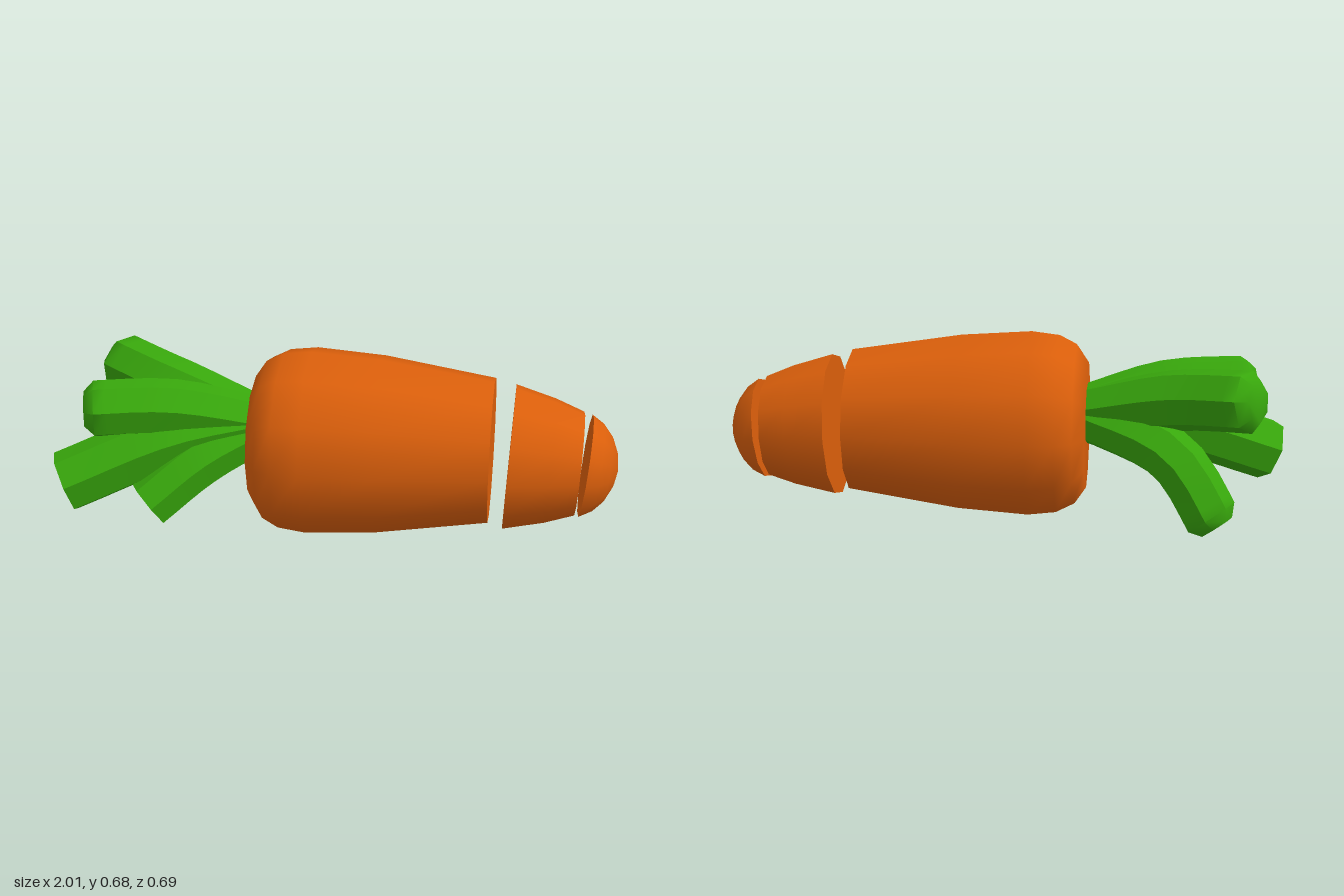
import * as THREE from 'three';
import { toCreasedNormals } from 'three/addons/utils/BufferGeometryUtils.js';

const SIDES = 12;

export function createModel() {
  const group = new THREE.Group();
  const orange = new THREE.MeshStandardMaterial({ color: 0xdb5f0b });
  orange.name = 'carrotOrange';
  const green = new THREE.MeshStandardMaterial({ color: 0x38a70c });
  green.name = 'leafGreen';

  // Carrot piece: smooth profile [x, radius] turned about x, with flat cut faces at open ends
  function rootPiece(name, profile, position, tilt) {
    const piece = new THREE.Group();
    piece.name = name;
    const first = profile[0], last = profile[profile.length - 1];
    const surfaces = { Skin: profile };
    if (first[1] > 0) surfaces.StartFace = [[first[0], 0], first];
    if (last[1] > 0) surfaces.EndFace = [last, [last[0], 0]];
    for (const [part, points] of Object.entries(surfaces)) {
      const geo = new THREE.LatheGeometry(points.map(([x, r]) => new THREE.Vector2(r, x)), SIDES);
      geo.rotateZ(-Math.PI / 2);
      const mesh = new THREE.Mesh(geo, orange);
      mesh.name = name + part;
      piece.add(mesh);
    }
    piece.position.set(...position);
    piece.rotation.z = tilt;
    group.add(piece);
  }

  rootPiece('carrotBody', [
    [-0.3, 0], [-0.3, 0.235], [-0.26, 0.295], [-0.2, 0.326], [-0.1, 0.338], [0.15, 0.321], [0.55, 0.26],
  ], [0, 0.34, 0.008], 0);
  rootPiece('carrotSlice', [[0, 0.26], [0.145, 0.223], [0.248, 0.186]], [0.613, 0.32, 0.008], -0.048);
  rootPiece('carrotTip', [
    [0, 0.184], [0.045, 0.157], [0.08, 0.117], [0.105, 0.062], [0.116, 0],
  ], [0.883, 0.3, 0.006], -0.097);

  // Stalk: seven-sided tube that widens along a bend and ends in a blunt cap
  function stalk(name, base, bend, end, radius, bevel) {
    const curve = new THREE.CatmullRomCurve3([base, bend, end].map((p) => new THREE.Vector3(...p)));
    const n = 7, steps = 8;
    const frames = curve.computeFrenetFrames(steps, false);
    const pos = [], index = [];
    const addRing = (center, i, r) => {
      for (let k = 0; k < n; k++) {
        const a = (k / n) * Math.PI * 2;
        const p = center.clone()
          .addScaledVector(frames.normals[i], Math.cos(a) * r)
          .addScaledVector(frames.binormals[i], Math.sin(a) * r);
        pos.push(p.x, p.y, p.z);
      }
    };
    for (let i = 0; i <= steps; i++) {
      const t = i / steps;
      const center = curve.getPointAt(t);
      if (i === steps) center.addScaledVector(frames.tangents[i], -bevel);
      addRing(center, i, THREE.MathUtils.lerp(0.088, radius, Math.min(1, t * 2.2)));
    }
    if (bevel) addRing(curve.getPointAt(1), steps, radius * 0.65);
    const rings = pos.length / 3 / n;
    for (let i = 0; i < rings - 1; i++) {
      for (let k = 0; k < n; k++) {
        const a = i * n + k, b = i * n + ((k + 1) % n);
        index.push(a, b, a + n, b, b + n, a + n);
      }
    }
    // blunt end cap
    const start = (rings - 1) * n;
    for (let k = 1; k < n - 1; k++) index.push(start, start + k, start + k + 1);
    const geo = new THREE.BufferGeometry();
    geo.setAttribute('position', new THREE.Float32BufferAttribute(pos, 3));
    geo.setIndex(index);
    const mesh = new THREE.Mesh(toCreasedNormals(geo, 0.88), green);
    mesh.name = name;
    group.add(mesh);
  }

  stalk('longFrontStalk', [-0.28, 0.4, 0.005], [-0.6, 0.345, 0.095], [-0.965, 0.21, 0.22], 0.114, 0);
  stalk('upperFrontStalk', [-0.28, 0.395, 0], [-0.6, 0.467, 0.085], [-0.895, 0.472, 0.16], 0.104, 0.035);
  stalk('upperBackStalk', [-0.28, 0.39, -0.005], [-0.62, 0.465, -0.11], [-0.89, 0.5, -0.27], 0.11, 0.035);
  stalk('lowerBackStalk', [-0.28, 0.38, -0.005], [-0.6, 0.27, -0.14], [-0.765, 0.035, -0.205], 0.1, 0.04);
  stalk('lowerFrontStalk', [-0.28, 0.375, 0.01], [-0.48, 0.283, 0.11], [-0.665, 0.142, 0.208], 0.098, 0);

  return group;
}
